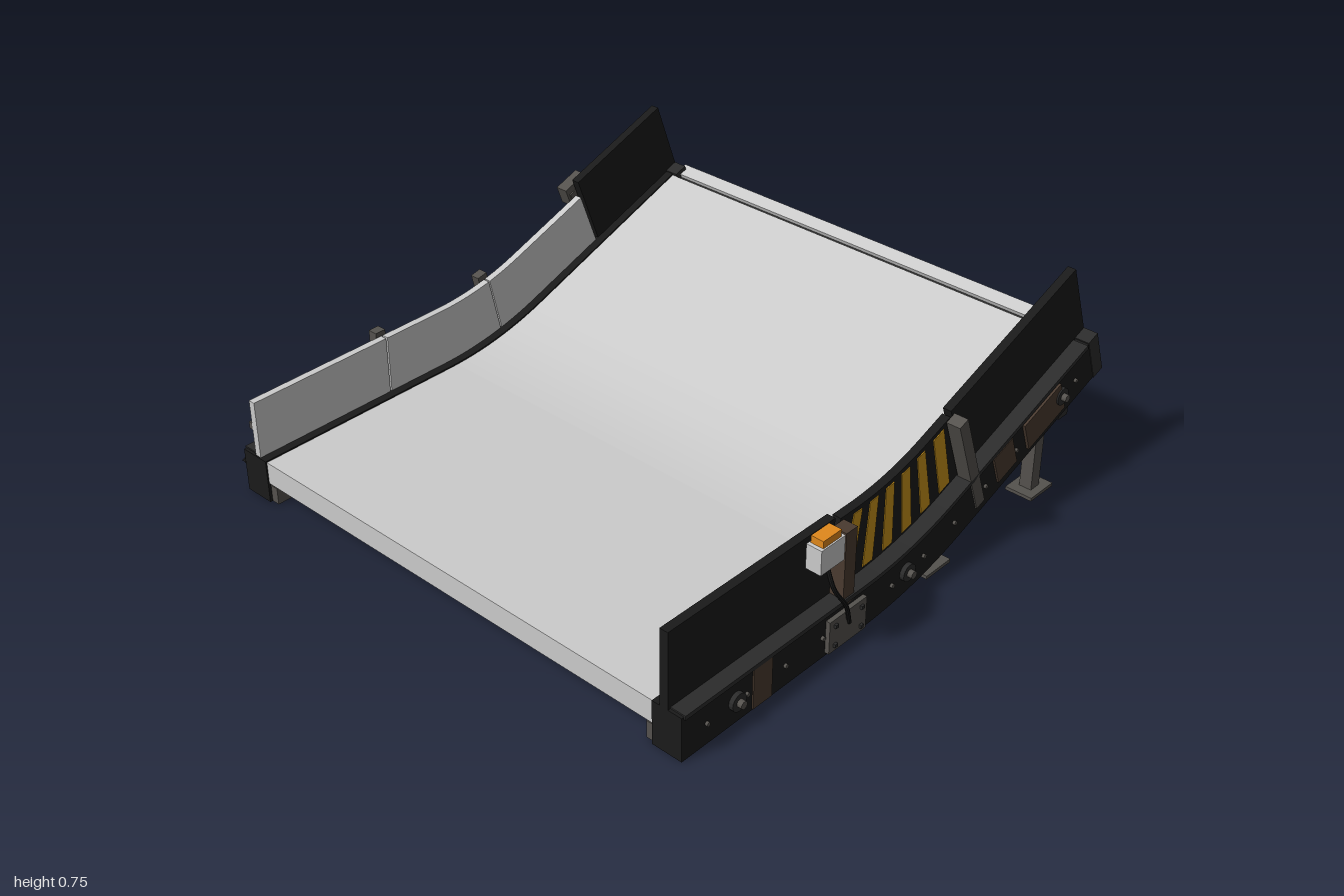
import * as THREE from 'three';

const BLACK = 0x1a1a1a, DARK = 0x2b2b2b, STEEL = 0x55524e, BROWN = 0x4a3b30, GREY = 0xcccccc, YELLOW = 0xc8921a, ORANGE = 0xe0881c;
const mats = new Map();
const mat = (color) => {
  if (!mats.has(color)) mats.set(color, new THREE.MeshStandardMaterial({ color, flatShading: true }));
  return mats.get(color);
};

// Side path: flat run, 20 degree bend, then straight incline
const TILT = Math.PI / 9, R = 1.42, S1 = 0.78, S2 = S1 + R * TILT, END = S2 + 0.781;
const angleAt = (s) => THREE.MathUtils.clamp((s - S1) / R, 0, TILT);
// Point [z, y] at distance s along the path and height h above it
function at(s, h) {
  const a = angleAt(s), flat = Math.min(s, S1), inc = Math.max(0, s - S2);
  const z = 1 - flat - R * Math.sin(a) - inc * Math.cos(a) + h * Math.sin(a);
  const y = R * (1 - Math.cos(a)) + inc * Math.sin(a) + h * Math.cos(a);
  return [z, y];
}

export function createModel() {
  const root = new THREE.Group();
  const add = (name, geo, color, parent = root) => {
    const m = new THREE.Mesh(geo, mat(color));
    m.name = name;
    parent.add(m);
    return m;
  };

  // Slab that follows the path, from x0 to x1, s0 to s1, h0 to h1
  function band(name, color, x0, x1, s0, s1, h0, h1, slant = 0) {
    const stops = [s0];
    for (let i = 0; i <= 12; i++) {
      const s = S1 + (S2 - S1) * i / 12;
      if (s > s0 + 1e-3 && s < s1 - 1e-3) stops.push(s);
    }
    stops.push(s1);
    const pt = (s, h) => { const [z, y] = at(s, h); return new THREE.Vector2(-z, y); };
    const low = stops.map((s) => pt(s, h0));
    const high = stops.map((s) => pt(s + slant, h1)).reverse();
    const geo = new THREE.ExtrudeGeometry(new THREE.Shape([...low, ...high]), { depth: x1 - x0, bevelEnabled: false });
    geo.rotateY(Math.PI / 2).translate(x0, 0, 0);
    return add(name, geo, color);
  }

  // Box or bolt aligned with the path
  function seat(mesh, x, s, h) {
    const [z, y] = at(s, h);
    mesh.position.set(x, y, z);
    mesh.rotation.x = angleAt(s);
    return mesh;
  }
  const block = (name, color, x, s, h, w, tall, len) =>
    seat(add(name, new THREE.BoxGeometry(w, tall, len), color), x, s, h);
  const disc = (name, color, x, s, h, r, w) =>
    seat(add(name, new THREE.CylinderGeometry(r, r, w, 16).rotateZ(Math.PI / 2), color), x, s, h);
  const box = (name, color, x, y, z, w, h, d) => {
    const m = add(name, new THREE.BoxGeometry(w, h, d), color);
    m.position.set(x, y, z);
    return m;
  };

  // Belt and the transfer bar behind it
  band('belt', GREY, -0.84, 0.84, 0.005, S2 + 0.73, 0.07, 0.15);
  band('beltGap', DARK, -0.84, 0.84, S2 + 0.73, S2 + 0.75, 0.08, 0.13);
  band('transferBar', GREY, -0.84, 0.84, S2 + 0.75, S2 + 0.8, 0.06, 0.145);

  // Side frames, inner flanges, end caps and legs
  for (const side of [-1, 1]) {
    const span = (a, b) => (side > 0 ? [a, b] : [-b, -a]);
    band('sideFrame', BLACK, ...span(0.84, 0.95), 0, END, 0, 0.155);
    band('innerFlange', STEEL, ...span(0.81, 0.84), 0.01, END - 0.06, 0, 0.06);
    band('endCap', DARK, ...span(0.82, 0.952), END - 0.05, END, -0.002, 0.16);
    band('frameLip', DARK, ...span(0.9, 0.955), 0.01, END - 0.06, 0.145, 0.16);
    for (const [z, top] of [[-0.16, 0.08], [-0.717, 0.28]]) {
      box('leg', STEEL, side * 0.9, top / 2, z, 0.045, top, 0.045);
      box('foot', STEEL, side * 0.9, 0.006, z, 0.1, 0.012, 0.12);
    }
    for (let i = 0; i < 12; i++) {
      disc('flangeBolt', DARK, side * 0.808, 0.1 + i * 0.165, 0.035, 0.008, 0.008);
      disc('frameBolt', STEEL, side * 0.953, 0.1 + i * 0.165, 0.075, 0.007, 0.012);
    }
    for (const [s, h] of [[0.22, 0.08], [1.0, 0.08], [1.83, 0.088]]) {
      disc('bearing', DARK, side * 0.957, s, h, 0.03, 0.016);
      disc('bearingShaft', STEEL, side * 0.967, s, h, 0.013, 0.03);
    }
  }

  // Tall guards on the left side
  band('frontGuard', BLACK, 0.87, 0.9, 0, 0.695, 0.15, 0.42);
  band('bendGuard', BLACK, 0.87, 0.9, 0.72, S2 + 0.11, 0.15, 0.405);
  band('rearGuard', BLACK, 0.87, 0.9, S2 + 0.118, END, 0.15, 0.423);
  for (let i = 0; i < 6; i++) {
    const s = 0.735 + i * 0.107;
    band('warningStripe', YELLOW, 0.895, 0.903, s, s + 0.052, 0.17, 0.39, 0.045 - i * 0.004);
  }

  // Guard posts, mounting plates and bearing plates on the left side
  box('guardPost', BROWN, 0.925, 0.265, 0.29, 0.05, 0.26, 0.05);
  box('postPlate', STEEL, 0.957, 0.07, 0.305, 0.016, 0.115, 0.17);
  for (const dz of [-0.06, 0.06]) for (const dy of [-0.035, 0.035])
    box('plateBolt', DARK, 0.968, 0.07 + dy, 0.305 + dz, 0.01, 0.012, 0.012);
  block('guardPost', STEEL, 0.93, S2 + 0.105, 0.22, 0.05, 0.38, 0.042);
  band('bearingPlate', BROWN, 0.95, 0.96, S2 + 0.36, S2 + 0.56, 0.03, 0.14);
  band('coverPlate', BROWN, 0.95, 0.957, S2 + 0.2, S2 + 0.3, 0.035, 0.145);
  band('coverPlate', BROWN, 0.95, 0.955, 0.29, 0.37, 0.005, 0.15);

  // Control box with button cap and cable
  box('controlBox', GREY, 0.945, 0.378, 0.402, 0.055, 0.085, 0.105);
  box('buttonCap', ORANGE, 0.945, 0.432, 0.402, 0.045, 0.026, 0.08);
  box('boxArm', BROWN, 0.925, 0.37, 0.33, 0.03, 0.03, 0.06);
  const cable = new THREE.CatmullRomCurve3([
    new THREE.Vector3(0.95, 0.34, 0.402), new THREE.Vector3(0.975, 0.26, 0.395),
    new THREE.Vector3(0.98, 0.17, 0.34), new THREE.Vector3(0.965, 0.08, 0.3)]);
  add('boxCable', new THREE.TubeGeometry(cable, 16, 0.007, 8), BLACK);

  // Low grey guard and tall rear guard on the right side
  const joins = [0.005, 0.55, 1.09, S2 + 0.34];
  for (let i = 0; i < 3; i++) {
    band('lowGuard', GREY, -0.895, -0.87, joins[i], joins[i + 1] - 0.006, 0.155, 0.36);
    band('guardRail', STEEL, -0.91, -0.895, joins[i], joins[i + 1] - 0.006, 0.25, 0.275);
  }
  band('rearGuard', BLACK, -0.9, -0.87, S2 + 0.345, END, 0.15, 0.423);
  for (const s of joins.slice(1)) {
    block('guardPost', STEEL, -0.922, s, 0.23, 0.035, 0.28, 0.04);
    block('postFoot', STEEL, -0.955, s, 0.09, 0.016, 0.11, 0.09);
  }
  block('postHead', STEEL, -0.932, S2 + 0.36, 0.36, 0.045, 0.07, 0.1);

  // Service cable held by clips along the right side
  const line = [];
  for (let i = 0; i <= 40; i++) {
    const [z, y] = at(0.01 + (END - 0.04) * i / 40, 0.085 + 0.022 * Math.sin(i * 0.95));
    line.push(new THREE.Vector3(-0.975, y, z));
  }
  add('serviceCable', new THREE.TubeGeometry(new THREE.CatmullRomCurve3(line), 120, 0.011, 8), BLACK);
  for (let i = 0; i < 6; i++) block('cableClip', DARK, -0.967, 0.15 + i * 0.34, 0.085, 0.036, 0.05, 0.03);

  // Striped warning board hanging under the rear end
  box('warningBoard', BLACK, 0, 0.255, -0.915, 1.68, 0.17, 0.04);
  const stripe = new THREE.Shape([[-0.05, -0.07], [-0.01, -0.07], [0.05, 0.07], [0.01, 0.07]]
    .map(([x, y]) => new THREE.Vector2(x, y)));
  const stripeGeo = new THREE.ExtrudeGeometry(stripe, { depth: 0.006, bevelEnabled: false });
  for (let i = 0; i < 20; i++)
    add('boardStripe', stripeGeo, YELLOW).position.set(-0.77 + i * 0.081, 0.252, -0.94);
  for (const side of [-1, 1]) box('boardHanger', DARK, side * 0.86, 0.26, -0.915, 0.04, 0.18, 0.05);

  return root;
}
